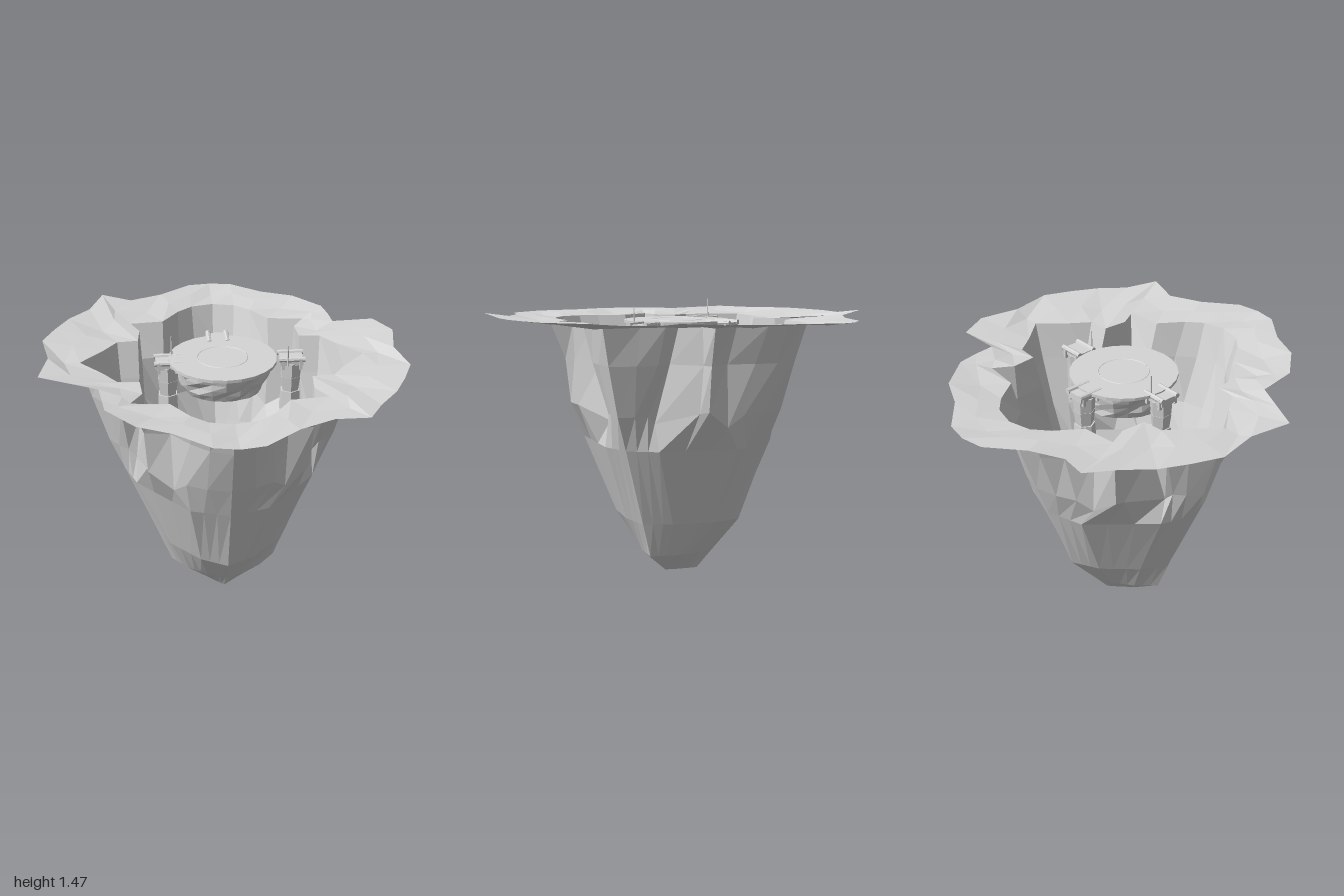
import * as THREE from 'three';

const stone = new THREE.MeshStandardMaterial({ color: 0xd6d6d6, flatShading: true, side: THREE.DoubleSide });
stone.name = 'grey stone';

function add(parent, name, geometry, x = 0, y = 0, z = 0) {
  const mesh = new THREE.Mesh(geometry, stone);
  mesh.name = name;
  mesh.position.set(x, y, z);
  parent.add(mesh);
  return mesh;
}

// Mirror a quarter section of [x, z, own height] points (from +z round to +x) into a closed 36-point loop
function fullLoop(q) {
  const back = [...q].reverse().slice(1).map(([x, z, y]) => [x, -z, y]);
  const half = [...q, ...back];
  return [...half, ...half.slice(1, -1).reverse().map(([x, z, y]) => [-x, z, y])];
}

// Spread four corner points into a ten-point quarter section with flat sides
function facets(...keys) {
  const q = [keys[0]];
  for (let k = 0; k < 3; k++) {
    for (let s = 1; s <= 3; s++) {
      q.push([0, 1].map((c) => keys[k][c] + (keys[k + 1][c] - keys[k][c]) * s / 3));
    }
  }
  return q;
}

// Skin a list of 36-point [x, y, z] loops
function loft(loops) {
  const n = 36, index = [];
  for (let r = 0; r < loops.length - 1; r++) {
    for (let i = 0; i < n; i++) {
      const a = r * n + i, b = r * n + (i + 1) % n;
      index.push(a, b, b + n, a, b + n, a + n);
    }
  }
  const g = new THREE.BufferGeometry();
  g.setAttribute('position', new THREE.Float32BufferAttribute(loops.flat(2), 3));
  g.setIndex(index);
  g.computeVertexNormals();
  return g;
}

// Quarter sections of the crater wall: faceted below, folded buttresses above
const lip = [[0, .73], [.12, .7], [.2, .63], [.29, .5], [.48, .48], [.42, .38], [.43, .25], [.54, .24], [.61, .14], [.73, 0]];
const sections = [
  [.005, facets([0, .01], [.004, .006], [.006, .004], [.01, 0])],
  [.03, facets([0, .125], [.045, .085], [.085, .045], [.125, 0])],
  [.14, facets([0, .215], [.1, .17], [.2, .1], [.285, 0])],
  [.33, facets([0, .375], [.14, .3], [.29, .14], [.36, 0])],
  [.74, facets([0, .525], [.2, .465], [.465, .16], [.525, 0])],
  [.92, [[0, .59], [.12, .56], [.22, .51], [.28, .45, .86], [.405, .41, .95], [.41, .36, .94], [.46, .13, .88], [.5, .115], [.55, .07], [.6, 0]]],
  [1.18, [[0, .68], [.11, .64], [.2, .56], [.29, .45], [.42, .43], [.41, .38], [.43, .2], [.53, .19], [.6, .11], [.68, 0]]],
  [1.37, lip],
];

function wallGeometry() {
  return loft(sections.map(([level, q]) => fullLoop(q).map(([x, z, y = level]) => [x, y, z])));
}

// Ragged flange around the mouth, one outline point for each lip point
function rimGeometry() {
  const outline = [
    [0, 1], [.12, .98], [.29, .84], [.46, .76], [.62, .8], [.7, .64], [.8, .51], [.87, .37], [.93, .22], [.89, 0],
    [.93, -.22], [.85, -.38], [.63, -.37], [.62, -.48], [.6, -.59], [.46, -.76], [.29, -.84], [.12, -.98],
    [0, -1], [-.12, -.98], [-.29, -.84], [-.46, -.76], [-.62, -.8], [-.69, -.64], [-.8, -.51], [-.87, -.37], [-.93, -.22], [-.89, 0],
    [-.93, .22], [-.78, .295], [-.63, .37], [-.615, .48], [-.6, .59], [-.46, .76], [-.29, .84], [-.12, .98],
  ];
  const inner = fullLoop(lip);
  const outerLoop = outline.map(([x, z]) =>
    [x, 1.388 + Math.abs(x) * .014 + (Math.hypot(x, z) > 1.005 ? .02 : 0), z]);
  const middle = outline.map(([x, z], i) =>
    [(x + inner[i][0]) / 2, i % 3 ? 1.385 : 1.37, (z + inner[i][1]) / 2]);
  return loft([outerLoop, middle, inner.map(([x, z]) => [x, 1.37, z])]);
}

// Rough rock: push vertices in and out by a repeatable rule of position
function roughen(g, amount) {
  const p = g.attributes.position;
  for (let i = 0; i < p.count; i++) {
    const x = p.getX(i), y = p.getY(i), z = p.getZ(i);
    const k = 1 + amount * Math.sin(Math.round(x * 1000) * 1.7 + Math.round(z * 1000) * 2.3 + Math.round(y * 1000) * .9);
    p.setXYZ(i, x * k, y, z * k);
  }
  g.computeVertexNormals();
  return g;
}

// Stone pillar with a railed lookout; rails run along local x
function makeTower(name, x, z, turn, mast) {
  const tower = new THREE.Group();
  tower.name = name;
  tower.position.set(x, 0, z);
  tower.rotation.y = turn;
  add(tower, 'pillarBase', new THREE.CylinderGeometry(.054, .06, .12, 6), 0, 1.12, 0);
  add(tower, 'pillarWaist', new THREE.CylinderGeometry(.056, .046, .08, 6), 0, 1.22, 0);
  add(tower, 'pillarHead', new THREE.CylinderGeometry(.06, .054, .08, 6), 0, 1.3, 0);
  add(tower, 'deck', new THREE.BoxGeometry(.12, .035, .1), 0, 1.35, 0);
  for (const s of [-1, 1]) {
    const rail = add(tower, 'rail', new THREE.CylinderGeometry(.014, .014, .135, 8), 0, 1.367, s * .048);
    rail.rotation.z = Math.PI / 2;
    for (const e of [-1, 1]) add(tower, 'post', new THREE.BoxGeometry(.016, .06, .016), e * .045, 1.345, s * .052);
  }
  if (mast) {
    const [mx, mz, top] = mast;
    add(tower, 'mast', new THREE.CylinderGeometry(.003, .005, top - 1.34, 5), mx, (top + 1.34) / 2, mz);
  }
  return tower;
}

export function createModel() {
  const model = new THREE.Group();
  model.name = 'crater';
  add(model, 'craterWall', wallGeometry());
  add(model, 'craterRim', rimGeometry());

  // Floating round platform with a raised ring and a rocky underside
  const platform = new THREE.Group();
  platform.name = 'platform';
  add(platform, 'platformDisc', new THREE.CylinderGeometry(.28, .28, .016, 24), 0, 1.367, 0);
  const ring = add(platform, 'platformRing', new THREE.TorusGeometry(.13, .002, 4, 28), 0, 1.375, 0);
  ring.rotation.x = Math.PI / 2;
  add(platform, 'platformRock', roughen(new THREE.CylinderGeometry(.255, .21, .14, 20, 4), .04), 0, 1.29, 0);
  add(platform, 'platformFoot', roughen(new THREE.CylinderGeometry(.18, .13, .04, 14, 1), .04), 0, 1.2, 0);
  model.add(platform);

  // Towers around the platform
  model.add(makeTower('rightTower', -.285, -.005, 0, [.025, -.045, 1.475]));
  model.add(makeTower('leftTower', .355, -.005, 0, [-.025, .07, 1.455]));
  model.add(makeTower('backTower', -.005, -.27, Math.PI / 2, null));
  return model;
}
